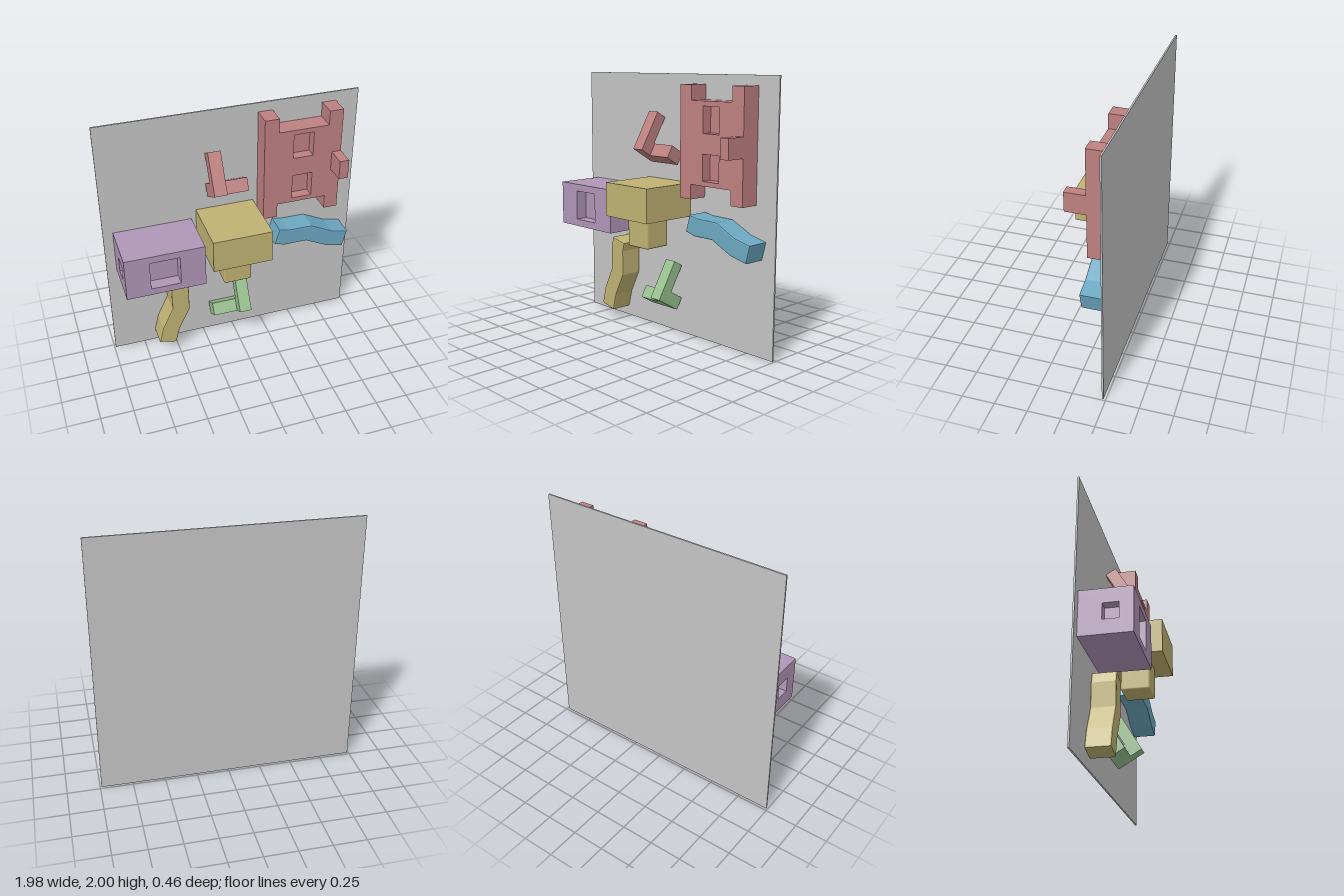
import * as THREE from 'three';
import { RoundedBoxGeometry } from 'three/addons/geometries/RoundedBoxGeometry.js';

const mat = (name, color) => new THREE.MeshStandardMaterial({ name, color });
const WALL = -0.22; // front plane of the board

const rect = (x0, x1, y0, y1) => [[x0, y0], [x1, y0], [x1, y1], [x0, y1]];
const vecs = pts => pts.map(p => new THREE.Vector2(...p));

// Outline with optional holes, extruded from z0 to z1
function slab(pts, z0, z1, holes = [], bevel = 0) {
  const shape = new THREE.Shape(vecs(pts));
  holes.forEach(h => shape.holes.push(new THREE.Path(vecs(h))));
  return new THREE.ExtrudeGeometry(shape, {
    depth: z1 - z0 - 2 * bevel, bevelEnabled: bevel > 0, bevelSize: bevel,
    bevelThickness: bevel, bevelOffset: -bevel, bevelSegments: 2,
  }).translate(0, 0, z0 + bevel);
}

// (z, y) outline extruded along x
const sideSlab = (pts, x0, x1, holes) =>
  slab(pts, 0, x1 - x0, holes).rotateY(-Math.PI / 2).translate(x1, 0, 0);

const box = (x0, x1, y0, y1, z0, z1) => new THREE.BoxGeometry(x1 - x0, y1 - y0, z1 - z0)
  .translate((x0 + x1) / 2, (y0 + y1) / 2, (z0 + z1) / 2);

export function createModel() {
  const gray = mat('gray', 0xc4c4c4), red = mat('red', 0xbe8080), purple = mat('purple', 0xb096b8);
  const yellow = mat('yellow', 0xc0b272), blue = mat('blue', 0x6ca8c2), green = mat('green', 0x96c08e);
  const model = new THREE.Group();

  function part(name, material, ...geometries) {
    const g = new THREE.Group();
    g.name = name;
    geometries.forEach(geo => g.add(new THREE.Mesh(geo, material)));
    model.add(g);
  }

  part('wallBoard', gray, box(-0.99, 0.99, 0, 2, -0.232, WALL));

  // Block with a square pocket in the front and a smaller one in its side
  part('pocketBlock', purple,
    slab(rect(-0.915, -0.315, 0.78, 1.12), 0.065, 0.158, [rect(-0.73, -0.505, 0.835, 1.065)]),
    sideSlab(rect(WALL, 0.065, 0.78, 1.12), -0.915, -0.84, [rect(-0.055, 0.06, 0.89, 1.01)]),
    box(-0.84, -0.315, 0.78, 1.12, WALL, 0.065));

  // Large block with a rounded stem underneath
  part('stemBlock', yellow,
    box(-0.277, 0.175, 0.935, 1.192, WALL, 0.232),
    new RoundedBoxGeometry(0.215, 0.26, 0.215, 3, 0.014).translate(-0.053, 0.835, 0.008));

  // Panel with two uprights, two shallow windows and a tab
  const panel = [[0.21, 1.1], [0.32, 1.1], [0.32, 1.21], [0.705, 1.21], [0.705, 1.1], [0.812, 1.1],
    [0.812, 1.928], [0.705, 1.928], [0.705, 1.817], [0.32, 1.817], [0.32, 1.928], [0.21, 1.928]];
  part('windowPanel', red,
    slab(panel, WALL, -0.15),
    slab(panel, -0.15, -0.07, [rect(0.435, 0.59, 1.245, 1.44), rect(0.435, 0.59, 1.587, 1.78)]),
    box(0.74, 0.812, 1.44, 1.588, -0.1, 0.082));

  // Tilted corner hook: L-shaped side profile plus a sideways bar at its foot
  const tilt = (u, v, y) => [0.025 - 0.51 * u - 0.86 * v, y + 0.86 * u - 0.51 * v];
  function hook(name, material, y, hookX, barX) {
    const profile = pts => pts.map(([u, v]) => tilt(u, v, y));
    part(name, material,
      sideSlab(profile([[0, 0], [0.322, 0], [0.322, 0.09], [0.1, 0.09], [0.1, 0.222], [0, 0.222]]), ...hookX),
      sideSlab(profile([[0, 0.096], [0.1, 0.096], [0.1, 0.222], [0, 0.222]]), ...barX));
  }
  hook('upperHook', red, 1.436, [-0.197, -0.1], [-0.1, 0.09]);
  hook('lowerHook', green, 0.305, [-0.005, 0.09], [-0.197, -0.005]);

  // Wavy bars with softened edges
  part('wavyBarRight', blue, slab([[0.3, 0.862], [0.335, 0.99], [0.41, 0.974], [0.6, 0.972], [0.775, 0.886],
    [0.912, 0.854], [0.878, 0.72], [0.735, 0.752], [0.56, 0.838], [0.38, 0.838]], WALL, -0.04, [], 0.01));
  part('wavyBarLeft', yellow, slab([[-0.522, 0.69], [-0.386, 0.658], [-0.402, 0.59], [-0.402, 0.395], [-0.49, 0.215],
    [-0.524, 0.08], [-0.658, 0.112], [-0.625, 0.25], [-0.54, 0.43], [-0.54, 0.615]], WALL, -0.04, [], 0.01));

  return model;
}
